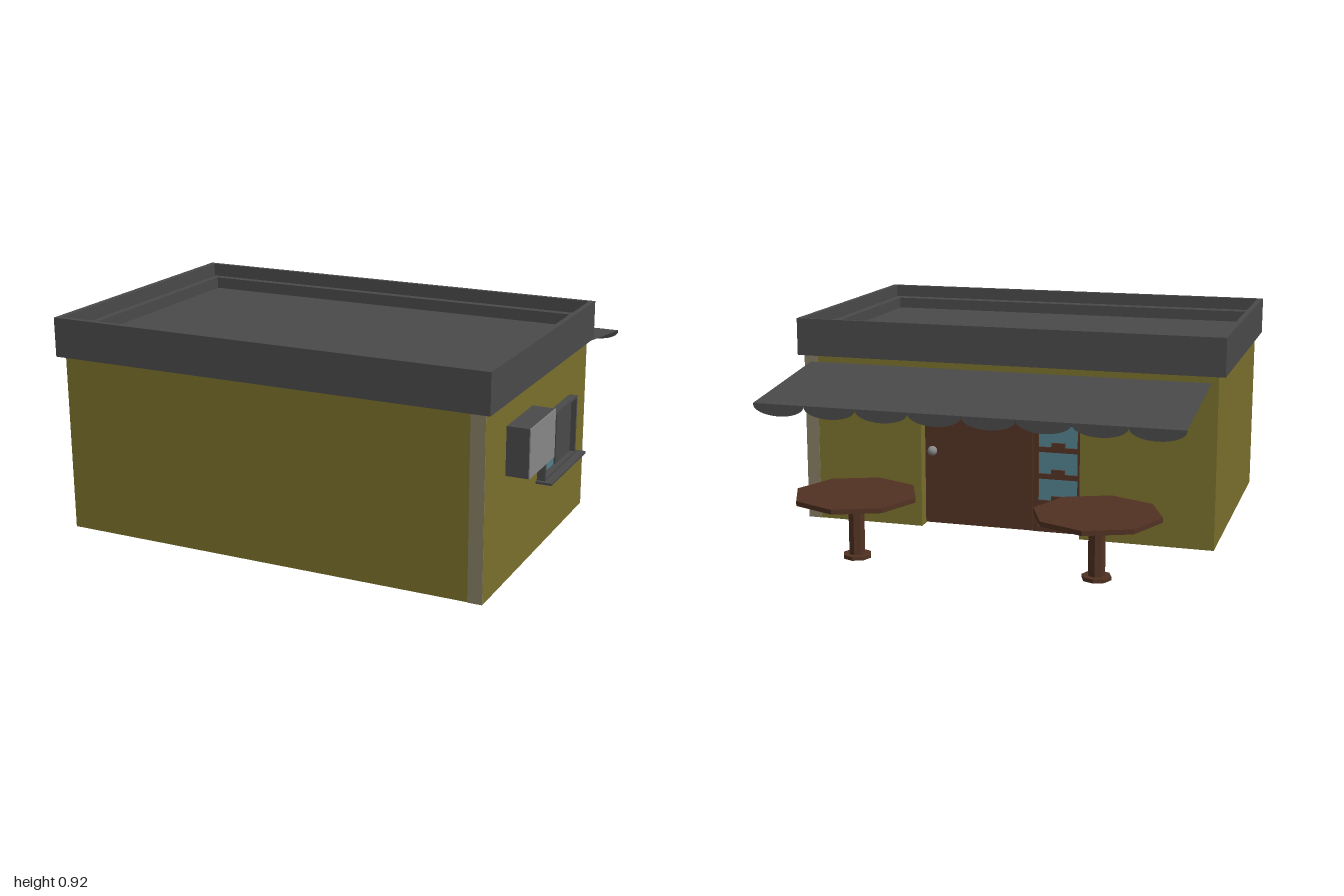
import * as THREE from 'three';

const mat = (name, color, extra = {}) => {
  const m = new THREE.MeshStandardMaterial({ color, ...extra });
  m.name = name;
  return m;
};

export function createModel() {
  const olive = mat('olive wall', 0x7a702c);
  const tan = mat('tan trim', 0x877d64);
  const dark = mat('dark grey', 0x4a4a4a, { side: THREE.DoubleSide });
  const light = mat('light grey', 0x888888);
  const blue = mat('blue glass', 0x52828e);
  const brown = mat('brown wood', 0x523223, { flatShading: true });

  const root = new THREE.Group();
  root.name = 'cafe';
  const add = (name, geo, material, parent = root) => {
    const m = new THREE.Mesh(geo, material);
    m.name = name;
    parent.add(m);
    return m;
  };
  // Box given by its limits on each axis
  const box = (name, material, x0, x1, y0, y1, z0, z1, parent = root) => {
    const m = add(name, new THREE.BoxGeometry(x1 - x0, y1 - y0, z1 - z0), material, parent);
    m.position.set((x0 + x1) / 2, (y0 + y1) / 2, (z0 + z1) / 2);
    return m;
  };
  // Rectangular ring lying flat, extruded upward
  const ring = (name, material, o, i, y0, y1) => {
    const rect = (C, [x0, x1, z0, z1]) => {
      const s = new C();
      s.moveTo(x0, -z0); s.lineTo(x0, -z1); s.lineTo(x1, -z1); s.lineTo(x1, -z0); s.closePath();
      return s;
    };
    const shape = rect(THREE.Shape, o);
    shape.holes.push(rect(THREE.Path, i));
    const g = new THREE.ExtrudeGeometry(shape, { depth: y1 - y0, bevelEnabled: false });
    g.rotateX(-Math.PI / 2).translate(0, y0, 0);
    return add(name, g, material);
  };

  // Walls: plan with a doorway notch at the back, lintel block above
  const doorTop = 0.63, recess = -0.14;
  const plan = new THREE.Shape([
    [-0.97, -0.97], [0.88, -0.97], [0.88, 0.21], [0.335, 0.21], [0.335, -recess],
    [-0.385, -recess], [-0.385, 0.21], [-0.97, 0.21],
  ].map(([x, y]) => new THREE.Vector2(x, y)));
  const walls = new THREE.ExtrudeGeometry(plan, { depth: doorTop, bevelEnabled: false });
  add('walls', walls.rotateX(-Math.PI / 2), olive);
  box('upperWalls', olive, -0.97, 0.88, doorTop, 0.78, -0.21, 0.97);
  box('frontCornerTrim', tan, 0.82, 0.88, 0, 0.76, 0.968, 0.973);
  box('backCornerTrim', tan, 0.82, 0.88, 0, 0.76, -0.213, -0.208);

  // Roof: deep fascia band, low curb and sunken deck
  ring('roofFascia', dark, [-1, 0.905, -0.23, 0.995], [-0.975, 0.882, -0.211, 0.972], 0.75, 0.915);
  ring('roofCurb', dark, [-0.965, 0.875, -0.205, 0.965], [-0.935, 0.84, -0.17, 0.905], 0.78, 0.86);
  box('roofDeck', dark, -0.965, 0.875, 0.76, 0.81, -0.205, 0.965);

  // Awning: thin sloping sheet with scalloped valance
  const x0 = -0.94, x1 = 0.85, lobes = 8, step = (x1 - x0) / lobes;
  const sheet = new THREE.PlaneGeometry(x1 - x0, Math.hypot(0.59, 0.07));
  sheet.rotateX(-Math.PI / 2 - Math.atan2(0.07, 0.59));
  add('awning', sheet, dark).position.set((x0 + x1) / 2, 0.685, -0.505);
  const edge = new THREE.Shape();
  edge.moveTo(x1, 0.65);
  edge.lineTo(x0, 0.65);
  for (let i = 0; i < lobes; i++) {
    edge.absellipse(x0 + (i + 0.5) * step, 0.645, step / 2, 0.045, Math.PI, 2 * Math.PI, false);
  }
  add('awningValance', new THREE.ShapeGeometry(edge, 8), dark).position.z = -0.8;

  // Doorway: solid door with knob, and glazed panel beside it
  const door = new THREE.Group();
  door.name = 'entrance';
  root.add(door);
  box('door', brown, -0.16, 0.335, 0.005, doorTop, -0.155, -0.13, door);
  add('doorKnob', new THREE.SphereGeometry(0.022, 12, 8), light, door).position.set(0.295, 0.34, -0.175);
  const gx0 = -0.385, gx1 = -0.165;
  box('sideGlass', blue, gx0, gx1, 0.005, doorTop, -0.148, -0.141, door);
  for (const x of [gx0, gx1 - 0.022]) {
    box('sideGlassStile', brown, x, x + 0.022, 0.005, doorTop, -0.16, -0.141, door);
  }
  const rows = 5, rowH = (doorTop - 0.03) / rows;
  for (let i = 0; i <= rows; i++) {
    const y = 0.005 + i * rowH;
    box('sideGlassRail', brown, gx0, gx1, y, y + 0.022, -0.159, -0.141, door);
    if (i < rows) {
      const mx = (gx0 + gx1) / 2;
      box('railBlock', brown, mx - 0.03, mx + 0.03, y + 0.022, y + 0.042, -0.159, -0.141, door);
    }
  }

  // Sliding window on the left wall
  const win = new THREE.Group();
  win.name = 'window';
  root.add(win);
  box('windowGlass', blue, 0.878, 0.886, 0.31, 0.555, 0.2, 0.38, win);
  box('windowShutter', dark, 0.878, 0.893, 0.31, 0.555, 0.005, 0.2, win);
  box('windowFrameTop', dark, 0.878, 0.915, 0.55, 0.56, 0, 0.39, win);
  box('windowFrameBottom', dark, 0.878, 0.915, 0.305, 0.315, 0, 0.39, win);
  for (const z of [0, 0.378]) box('windowFrameSide', dark, 0.878, 0.915, 0.305, 0.56, z, z + 0.012, win);
  box('windowSill', dark, 0.878, 0.948, 0.295, 0.305, -0.04, 0.405, win);

  // Air conditioner with pale front plate
  box('airConditioner', dark, 0.905, 0.996, 0.47, 0.665, 0.54, 0.825);
  box('airConditionerFront', light, 0.996, 1, 0.47, 0.665, 0.54, 0.825);

  // Octagonal pedestal tables behind the building
  for (const x of [-0.585, 0.43]) {
    const table = new THREE.Group();
    table.name = 'table';
    table.position.set(x, 0, -0.74);
    root.add(table);
    for (const [name, r, y0, y1] of [
      ['tableTop', 0.26, 0.265, 0.285], ['tablePost', 0.035, 0.025, 0.266], ['tableBase', 0.06, 0.012, 0.028],
    ]) {
      add(name, new THREE.CylinderGeometry(r, r, y1 - y0, 8), brown, table).position.y = (y0 + y1) / 2;
    }
  }
  return root;
}
